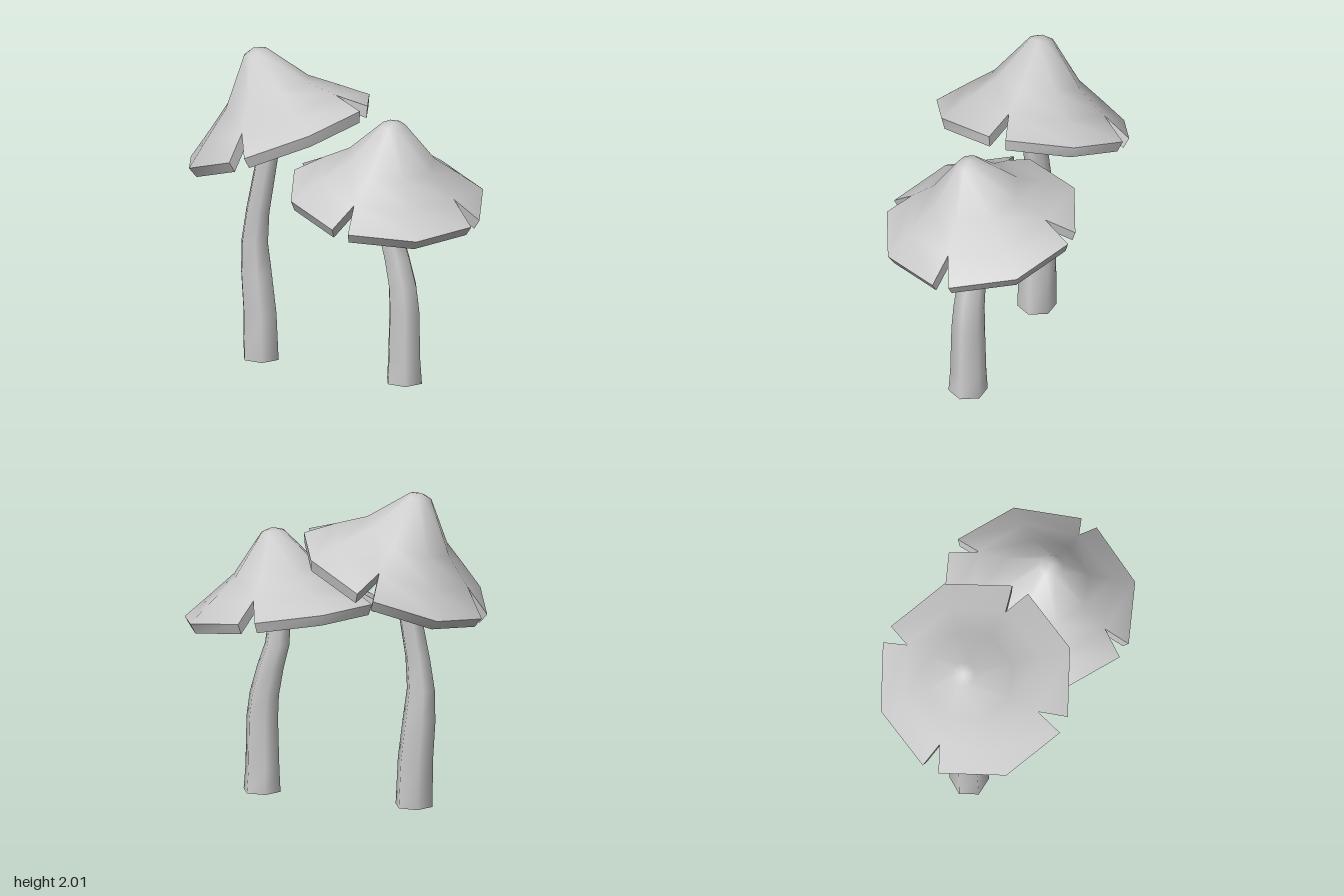
import * as THREE from 'three';
import { toCreasedNormals } from 'three/addons/utils/BufferGeometryUtils.js';

const material = new THREE.MeshStandardMaterial({ color: 0xcccccc });

// Hexagonal stem that bends and tapers; rows are [height, centre x, radius]
function makeStem(rows) {
  const n = rows.length - 1;
  const geo = new THREE.CylinderGeometry(1, 1, 1, 6, n, false, Math.PI / 2);
  const p = geo.attributes.position;
  for (let i = 0; i < p.count; i++) {
    const [y, cx, r] = rows[Math.round((p.getY(i) + 0.5) * n)];
    p.setXYZ(i, cx + p.getX(i) * r, y, 0.025 + p.getZ(i) * r);
  }
  const mesh = new THREE.Mesh(toCreasedNormals(geo, 1.2), material);
  mesh.name = 'stem';
  return mesh;
}

// Cap shell profiles as [radius, height], from rim to peak; row 1 is the notch tip
const OUTER = [[0.625, 0], [0.46, 0.123], [0.285, 0.25], [0.075, 0.505], [0, 0.53]];
const INNER = [[0.595, -0.067], [0.44, 0.05], [0.27, 0.175], [0.07, 0.4], [0, 0.42]];
const NOTCH = 0.088; // half the opening angle of a notch at the rim

// Hollow eight-sided cap with a V notch in every second corner
function makeCap({ height, yaw, lean }) {
  const columns = [];
  for (let k = 0; k < 4; k++) {
    const a = (k * Math.PI) / 2 + yaw;
    columns.push(
      { a, rim: a - NOTCH, beforeNotch: true },
      { a, rim: a + NOTCH },
      { a: a + Math.PI / 4, rim: a + Math.PI / 4 },
    );
  }
  const point = (profile, row, c) => {
    const [r, y] = profile[row];
    const a = row === 0 ? c.rim : c.a;
    return new THREE.Vector3(r * Math.cos(a) + lean * y, y * height, r * Math.sin(a));
  };
  const pts = [];
  const tri = (a, b, c) => {
    if (new THREE.Triangle(a, b, c).getArea() > 1e-7) pts.push(a, b, c);
  };
  const quad = (a, b, c, d) => { tri(a, b, c); tri(a, c, d); };

  columns.forEach((c, i) => {
    const d = columns[(i + 1) % columns.length];
    const o = (row, col) => point(OUTER, row, col);
    const n = (row, col) => point(INNER, row, col);
    if (c.beforeNotch) {
      // Two side walls of the notch
      quad(o(0, c), o(1, c), n(1, c), n(0, c));
      quad(n(0, d), n(1, d), o(1, d), o(0, d));
      return;
    }
    // Top, underside and rim wall
    for (let row = 0; row < OUTER.length - 1; row++) {
      quad(o(row, c), o(row + 1, c), o(row + 1, d), o(row, d));
      quad(n(row, d), n(row + 1, d), n(row + 1, c), n(row, c));
    }
    quad(o(0, c), o(0, d), n(0, d), n(0, c));
  });
  const geo = new THREE.BufferGeometry().setFromPoints(pts);
  const mesh = new THREE.Mesh(toCreasedNormals(geo, 0.75), material);
  mesh.name = 'cap';
  return mesh;
}

function makeMushroom(name, stemRows, capShape, capPosition, tiltX, tiltZ) {
  const group = new THREE.Group();
  group.name = name;
  const cap = makeCap(capShape);
  cap.position.set(...capPosition);
  cap.rotation.set(tiltX, 0, tiltZ);
  group.add(makeStem(stemRows), cap);
  return group;
}

export function createModel() {
  const model = new THREE.Group();
  model.name = 'mushroomPair';
  model.add(
    makeMushroom(
      'tallMushroom',
      [[0, -0.513, 0.122], [0.3, -0.522, 0.116], [0.55, -0.546, 0.108], [0.75, -0.558, 0.092],
        [0.95, -0.537, 0.081], [1.35, -0.463, 0.073], [1.74, -0.445, 0.068]],
      { height: 1.04, yaw: -0.055, lean: 0.06 },
      [-0.4, 1.482, 0], 0.03, 0.375,
    ),
    makeMushroom(
      'shortMushroom',
      [[0, 0.492, 0.122], [0.15, 0.49, 0.112], [0.47, 0.491, 0.104], [0.62, 0.478, 0.097],
        [0.8, 0.437, 0.088], [0.95, 0.392, 0.081], [1.1, 0.378, 0.073], [1.45, 0.39, 0.066]],
      { height: 0.97, yaw: 0, lean: 0 },
      [0.355, 1.182, 0], 0.1, -0.153,
    ),
  );
  return model;
}
